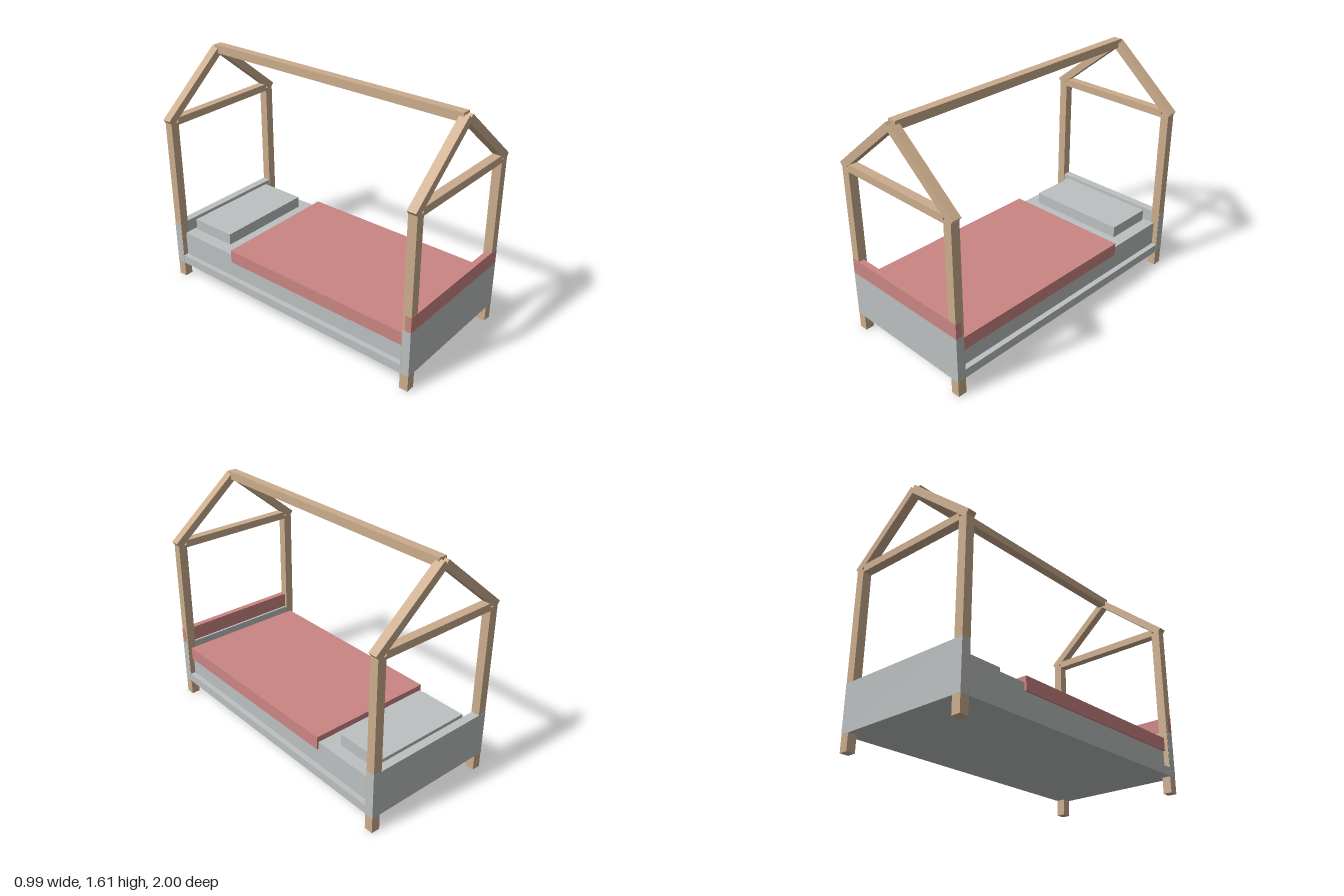
import * as THREE from 'three';

export function createModel() {
  const model = new THREE.Group();
  model.name = 'houseFrameBed';

  const material = (name, color) => {
    const m = new THREE.MeshStandardMaterial({ color });
    m.name = name;
    return m;
  };
  const wood = material('lightWood', 0xcbac8c);
  const grey = material('paleGrey', 0xbcc0c0);
  const red = material('dustyRed', 0xca8583);

  // Box given by its minimum and maximum along each axis
  const box = (name, mat, [x0, x1], [y0, y1], [z0, z1]) => {
    const mesh = new THREE.Mesh(new THREE.BoxGeometry(x1 - x0, y1 - y0, z1 - z0), mat);
    mesh.position.set((x0 + x1) / 2, (y0 + y1) / 2, (z0 + z1) / 2);
    mesh.name = name;
    model.add(mesh);
    return mesh;
  };

  // Two gabled end frames: posts, tie beam and rafters
  const eave = new THREE.Vector2(0.497, 1.202);
  const peak = new THREE.Vector2(0.016, 1.602);
  const run = peak.clone().sub(eave);
  const thickness = 0.051;
  for (const end of [1, -1]) {
    const z = end > 0 ? [0.94, 1] : [-1, -0.94];
    const label = end > 0 ? 'front' : 'back';
    for (const side of [1, -1]) {
      const hand = side > 0 ? 'Left' : 'Right';
      box(label + hand + 'Post', wood, side > 0 ? [0.42, 0.48] : [-0.48, -0.42], [0, 1.18], z);

      // Square-cut rafter, its outer edge running from eave to peak
      const rafter = new THREE.Mesh(new THREE.BoxGeometry(run.length(), thickness, 0.06), wood);
      const inward = new THREE.Vector2(-run.y, run.x).normalize().multiplyScalar(thickness / 2);
      const mid = eave.clone().add(peak).multiplyScalar(0.5).add(inward);
      rafter.position.set(mid.x * side, mid.y, end * 0.97);
      rafter.rotation.z = side * Math.atan2(run.y, run.x);
      rafter.name = label + hand + 'Rafter';
      model.add(rafter);
    }
    box(label + 'TieBeam', wood, [-0.42, 0.42], [1.16, 1.21], z);
  }
  box('ridgeBeam', wood, [-0.03, 0.03], [1.555, 1.612], [-0.97, 0.97]);

  // End boards wrap the posts by a hair so that their faces stay clean
  const w = 0.481;
  box('footboard', grey, [-w, w], [0.11, 0.425], [0.945, 1.001]);
  box('footboardTopPanel', red, [-w, w], [0.425, 0.53], [0.96, 1.001]);
  box('headboard', grey, [-w, w], [0.11, 0.425], [-1.001, -0.945]);

  // Bed base and bedding
  box('bedBase', grey, [-0.48, 0.48], [0.11, 0.17], [-0.945, 0.945]);
  box('mattress', grey, [-0.443, 0.443], [0.17, 0.34], [-0.94, 0.94]);
  box('blanket', red, [-0.455, 0.455], [0.29, 0.38], [-0.475, 0.94]);
  box('pillow', grey, [-0.357, 0.357], [0.34, 0.42], [-0.92, -0.583]);

  return model;
}
